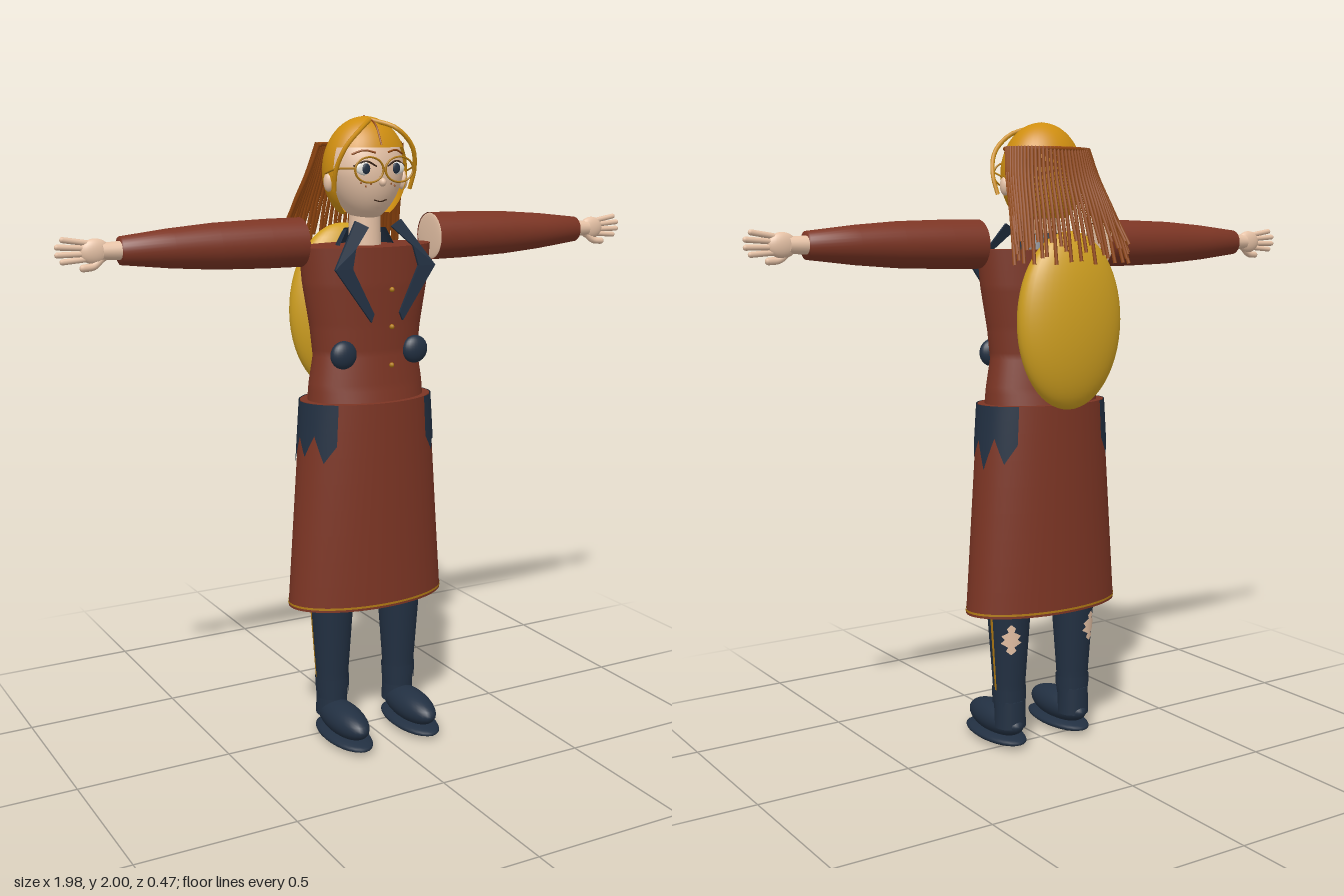
import * as THREE from 'three';
import { ParametricGeometry } from 'three/addons/geometries/ParametricGeometry.js';

const mat = (name, color, side = THREE.FrontSide) => {
  const m = new THREE.MeshStandardMaterial({ color, side });
  m.name = name;
  return m;
};
const V = (x, y, z) => new THREE.Vector3(x, y, z);

// Linear lookup of [y, rx, rz] rows
function radii(rows, y) {
  let i = 0;
  while (i < rows.length - 2 && y > rows[i + 1][0]) i++;
  const [a, b] = [rows[i], rows[i + 1]];
  const t = THREE.MathUtils.clamp((y - a[0]) / (b[0] - a[0]), 0, 1);
  return [a[1] + (b[1] - a[1]) * t, a[2] + (b[2] - a[2]) * t];
}

// Sheet wrapped round an elliptical body; at(u, v) gives [angle, y]
function wrap(rows, at, us, vs, lift = 0) {
  return new ParametricGeometry((u, v, out) => {
    const [a, y] = at(u, v);
    const [rx, rz] = radii(rows, y);
    out.set((rx + lift) * Math.sin(a), y, (rz + lift) * Math.cos(a));
  }, us, vs);
}

export function createModel() {
  const root = new THREE.Group();
  root.name = 'figure';
  const D = THREE.DoubleSide;
  const coat = mat('rust coat', 0x7c3524, D);
  const navy = mat('navy cloth', 0x223042, D);
  const hair = mat('golden hair', 0xcf8e10, D);
  const pack = mat('yellow pack', 0xd0a020);
  const skin = mat('skin', 0xe6c2a6, D);
  const lock = mat('auburn hair', 0x94470f);
  const trim = mat('brass trim', 0xb07a14, D);
  const white = mat('eye white', 0xf2efe8);
  const dark = mat('dark brown', 0x3a2416);

  const add = (name, geo, m, x = 0, y = 0, z = 0, parent = root) => {
    const mesh = new THREE.Mesh(geo, m);
    mesh.name = name;
    mesh.position.set(x, y, z);
    parent.add(mesh);
    return mesh;
  };
  const ball = (name, m, x, y, z, rx, ry, rz, seg = 24) =>
    add(name, new THREE.SphereGeometry(1, seg, Math.ceil(seg * 0.7)).scale(rx, ry, rz), m, x, y, z);
  const tube = (name, m, pts, r, seg = 16, sides = 6) =>
    add(name, new THREE.TubeGeometry(new THREE.CatmullRomCurve3(pts), seg, r, sides), m);
  const lid = (name, m, y, rx, rz, up) =>
    add(name, new THREE.CircleGeometry(1, 48).rotateX(up ? -Math.PI / 2 : Math.PI / 2).scale(rx, 1, rz), m, 0, y, 0);

  // Coat: fitted bodice and flared skirt
  const bodice = [[1.1, 0.2, 0.13], [1.18, 0.195, 0.115], [1.27, 0.18, 0.105], [1.36, 0.19, 0.108],
    [1.5, 0.215, 0.115], [1.61, 0.225, 0.115]];
  const skirt = [[0.46, 0.272, 0.146], [1.13, 0.222, 0.144]];
  const tall = (rows) => {
    const y0 = rows[0][0], y1 = rows[rows.length - 1][0];
    return (u, v) => [u * Math.PI * 2, y0 + (y1 - y0) * v];
  };
  add('bodice', wrap(bodice, tall(bodice), 48, 24), coat);
  add('skirt', wrap(skirt, tall(skirt), 48, 8), coat);
  lid('coatShoulders', coat, 1.61, 0.225, 0.115, true);
  lid('skirtTop', coat, 1.13, 0.222, 0.144, true);
  lid('skirtUnderside', coat, 0.46, 0.272, 0.146, false);
  add('hemTrim', wrap(skirt, (u, v) => [u * Math.PI * 2, 0.468 + v * 0.007], 48, 1, 0.002), trim);
  for (const y of [1.48, 1.365, 1.245]) ball('button', trim, 0.025, y, 0.125, 0.008, 0.008, 0.008, 10);

  // Collar behind the neck
  const collar = [[1.605, 0.1, 0.085], [1.66, 0.07, 0.06]];
  add('collar', wrap(collar, (u, v) => [Math.PI + (u - 0.5) * 3.4, 1.605 + v * 0.055], 24, 2), navy);

  // Neck and head
  add('neck', new THREE.CylinderGeometry(0.048, 0.052, 0.14, 24), skin, 0, 1.66, -0.005);
  const headGeo = new THREE.SphereGeometry(1, 40, 28).scale(0.121, 0.155, 0.108);
  const hp = headGeo.attributes.position;
  for (let i = 0; i < hp.count; i++)
    if (hp.getY(i) < 0) hp.setX(i, hp.getX(i) * (1 + hp.getY(i) * 1.2));
  headGeo.computeVertexNormals();
  add('head', headGeo, skin, 0, 1.837, 0);
  ball('nose', skin, 0, 1.805, 0.108, 0.011, 0.013, 0.014, 12);
  tube('mouth', dark, [V(-0.022, 1.752, 0.094), V(0, 1.747, 0.096), V(0.022, 1.752, 0.094)], 0.002);

  // Golden hair: crown plus back, leaving the face open
  const shell = (p0, pl, t0, tl) =>
    new THREE.SphereGeometry(1, 40, 20, p0, pl, t0, tl).scale(0.137, 0.163, 0.113);
  add('hairCrown', shell(0, Math.PI * 2, 0, 1.12), hair, 0, 1.837, -0.004);
  add('hairBack', shell(Math.PI - 0.35, Math.PI + 0.7, 1.1, 1.4), hair, 0, 1.837, -0.004);
  tube('parting', lock, [V(0, 2.0, -0.01), V(0, 1.976, 0.062), V(0, 1.915, 0.102)], 0.003);

  // Auburn locks fanned round the back of the head
  const count = 37;
  for (let i = 0; i < count; i++) {
    const a = (i / (count - 1) - 0.5) * 3.1;
    const s = Math.sin(a), c = Math.cos(a), tip = 1.6 + 0.035 * Math.sin(i * 2.4);
    tube('backLock', lock, [V(0.145 * s, 1.92, -0.025 - 0.105 * c), V(0.165 * s, 1.83, -0.06 - 0.09 * c),
      V(0.19 * s, 1.72, -0.12 - 0.068 * c), V(0.212 * s, tip, -0.175 - 0.045 * c)], 0.0062, 12, 5);
  }
  add('hairBand', new THREE.TorusGeometry(1, 0.06, 6, 32, Math.PI + 0.2)
    .rotateZ(-0.1).rotateX(-Math.PI / 2).scale(0.14, 0.12, 0.11), lock, 0, 1.915, -0.022);

  // Pack on the back
  ball('backpack', pack, 0, 1.392, -0.158, 0.187, 0.275, 0.078, 40);

  // Chevron lapel outline
  const lapelPts = [[0.08, 1.69], [0.04, 1.67], [0.1, 1.61], [0.115, 1.55], [0.045, 1.41], [0.055, 1.385], [0.175, 1.55]];
  const trouser = [[0.13, 0.05, 0.048], [0.2, 0.053, 0.05], [0.46, 0.071, 0.071], [0.6, 0.075, 0.075]];

  for (const s of [1, -1]) {
    const side = s > 0 ? 'left' : 'right';

    // Face: eyes, brows, freckles, glasses, ear, fringe strand
    const ex = s * 0.052;
    ball(side + 'Eye', white, ex, 1.846, 0.094, 0.032, 0.02, 0.008);
    ball(side + 'Iris', navy, ex, 1.846, 0.1, 0.014, 0.016, 0.005, 16);
    tube(side + 'Lash', dark, [V(s * 0.018, 1.852, 0.104), V(ex, 1.868, 0.101), V(s * 0.088, 1.853, 0.085)], 0.003);
    tube(side + 'Brow', lock, [V(s * 0.02, 1.893, 0.102), V(s * 0.055, 1.9, 0.091), V(s * 0.088, 1.888, 0.074)], 0.003);
    for (const [x, y] of [[0.035, 1.8], [0.05, 1.793], [0.063, 1.803]])
      ball('freckle', lock, s * x, y, 0.107 * Math.sqrt(1 - (x / 0.118) ** 2) - 0.003, 0.003, 0.003, 0.003, 8);
    add(side + 'Rim', new THREE.TorusGeometry(0.046, 0.0035, 8, 36).scale(1.05, 0.82, 1), trim, ex, 1.843, 0.12);
    tube(side + 'Temple', trim, [V(s * 0.1, 1.848, 0.12), V(s * 0.132, 1.845, 0.06), V(s * 0.14, 1.83, 0)], 0.003);
    ball(side + 'Ear', skin, s * 0.13, 1.805, 0.005, 0.016, 0.03, 0.018, 16);
    tube(side + 'FringeStrand', hair, [V(0, 1.99, 0.03), V(s * 0.06, 1.965, 0.085), V(s * 0.115, 1.91, 0.088),
      V(s * 0.137, 1.84, 0.065), V(s * 0.132, 1.78, 0.045)], 0.007);

    // Lapel, leaning back toward the neck
    const lapelShape = new THREE.Shape(lapelPts.map(([x, y]) => new THREE.Vector2(s * x, y)));
    const lapel = new THREE.ExtrudeGeometry(lapelShape, { depth: 0.009, bevelEnabled: false });
    const lp = lapel.attributes.position;
    for (let i = 0; i < lp.count; i++) {
      const y = lp.getY(i);
      lp.setZ(i, lp.getZ(i) + (y > 1.6 ? 0.122 - (y - 1.6) * 0.5 : 0.122 + (1.6 - y) * 0.05));
    }
    lapel.computeVertexNormals();
    add(side + 'Lapel', lapel, navy);

    // Round pocket and ragged hip patch
    ball(side + 'RoundPocket', navy, s * 0.127, 1.283, 0.092, 0.044, 0.044, 0.026);
    const teeth = [1.0, 0.945, 1.03, 0.96, 1.02, 0.93, 1.03, 0.95, 1.01];
    add(side + 'HipPatch', wrap(skirt, (u, v) => {
      const k = (s > 0 ? u : 1 - u) * (teeth.length - 1), i = Math.min(Math.floor(k), teeth.length - 2);
      const low = teeth[i] + (teeth[i + 1] - teeth[i]) * (k - i);
      return [s * Math.PI / 2 + (u - 0.5) * 1.65, low + (1.13 - low) * v];
    }, 32, 4, 0.004), navy);

    // Sleeve with its inner end showing skin
    const prof = [[0.001, 0], [0.075, 0], [0.074, 0.12], [0.069, 0.28], [0.058, 0.42], [0.041, 0.57], [0.001, 0.57]];
    const sleeve = add(side + 'Sleeve', new THREE.LatheGeometry(prof.slice(1).map(([r, y]) => new THREE.Vector2(r, y)), 32), coat, s * 0.23, 1.627, 0.005);
    sleeve.rotation.z = -s * Math.PI / 2;
    ball(side + 'ArmEnd', skin, s * 0.232, 1.627, 0.005, 0.006, 0.073, 0.073);

    // Hand
    const wrist = add(side + 'Wrist', new THREE.CylinderGeometry(0.024, 0.028, 0.07, 16), skin, s * 0.82, 1.628, 0.004);
    wrist.rotation.z = -s * Math.PI / 2;
    ball(side + 'Palm', skin, s * 0.873, 1.628, 0.004, 0.045, 0.037, 0.019);
    [[0.966, 1.664], [0.982, 1.644], [0.982, 1.622], [0.968, 1.602]].forEach(([x, y]) => {
      tube(side + 'Finger', skin, [V(s * 0.89, 1.628 + (y - 1.63) * 0.7, 0.004), V(s * x, y, 0.003)], 0.0085, 4, 8);
      ball('fingertip', skin, s * x, y, 0.003, 0.0085, 0.0085, 0.0085, 8);
    });
    tube(side + 'Thumb', skin, [V(s * 0.855, 1.607, 0.006), V(s * 0.88, 1.587, 0.01), V(s * 0.912, 1.583, 0.012)], 0.011, 8, 8);
    ball('thumbTip', skin, s * 0.912, 1.583, 0.012, 0.011, 0.011, 0.011, 8);

    // Leg with side stripe, torn knee and ragged cuff
    const leg = new THREE.Group();
    leg.name = side + 'Leg';
    leg.position.x = s * 0.125;
    root.add(leg);
    add('trouserLeg', wrap(trouser, tall(trouser), 28, 10), navy, 0, 0, 0, leg);
    add('stripe', wrap(trouser, (u, v) => [s * 1.7 + (u - 0.5) * 0.16, 0.17 + v * 0.3], 2, 8, 0.003), trim, 0, 0, 0, leg);
    const width = [0.05, 0.5, 0.3, 1, 0.6, 0.9, 0.25, 0.4, 0.05];
    add('kneeTear', wrap(trouser, (u, v) =>
      [s * 2.7 + (u - 0.5) * 1.05 * width[Math.round(v * 8)], 0.325 + v * 0.1], 8, 8, 0.003), skin, 0, 0, 0, leg);
    add('cuff', wrap(trouser, (u, v) => {
      const low = 0.145 + (Math.round(u * 28) % 2) * 0.025;
      return [u * Math.PI * 2, low + (0.2 - low) * v];
    }, 28, 2, 0.004), navy, 0, 0, 0, leg);

    // Shoe
    add('ankle', new THREE.CylinderGeometry(0.05, 0.052, 0.09, 24), navy, 0, 0.115, -0.005, leg);
    add('shoeUpper', new THREE.SphereGeometry(1, 28, 18).scale(0.058, 0.052, 0.143), navy, 0, 0.077, 0.079, leg);
    add('shoeSole', new THREE.SphereGeometry(1, 28, 14).scale(0.07, 0.021, 0.152), navy, 0, 0.024, 0.082, leg);
  }
  return root;
}
